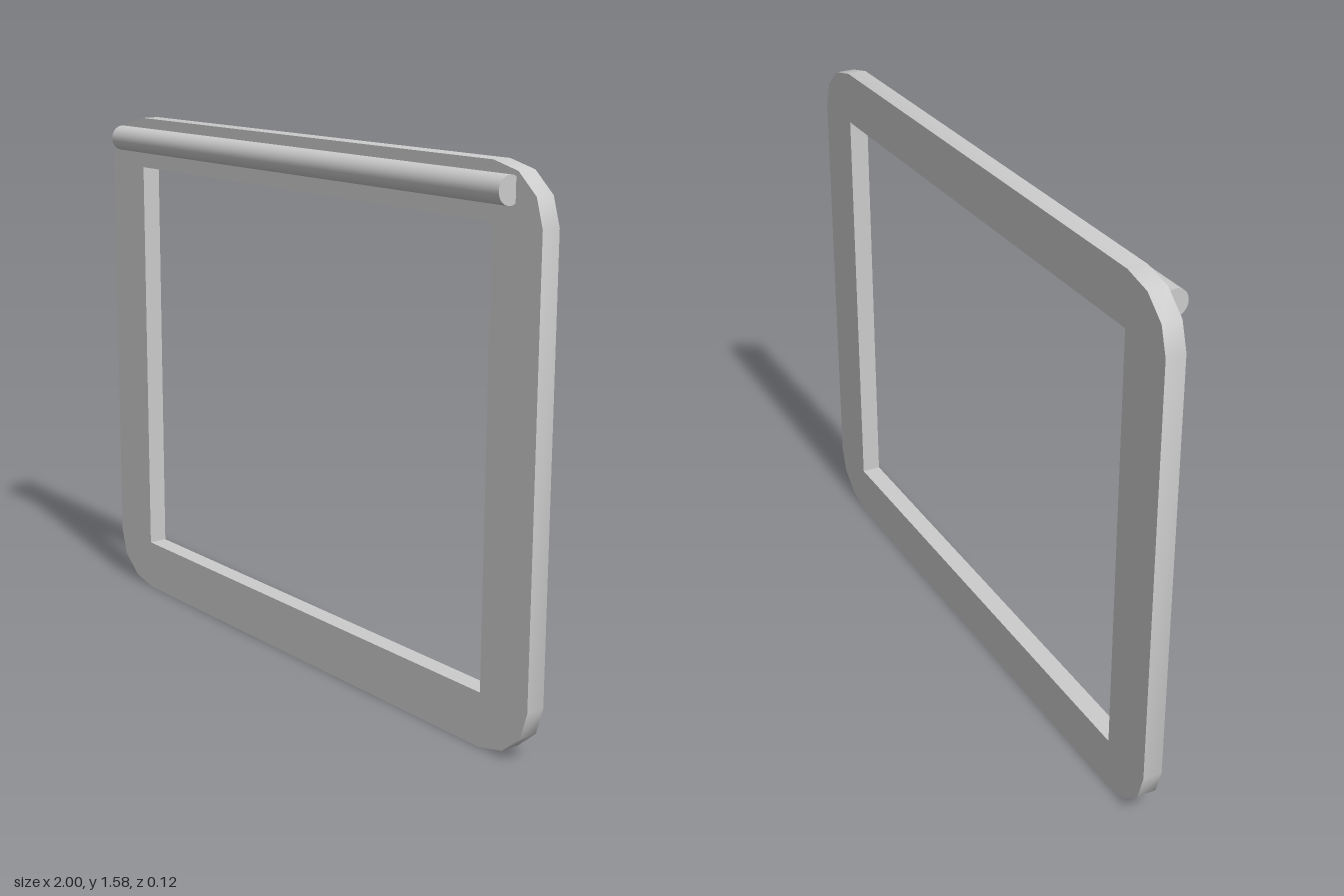
import * as THREE from 'three';
import { toCreasedNormals } from 'three/addons/utils/BufferGeometryUtils.js';

export function createModel() {
  const group = new THREE.Group();
  const material = new THREE.MeshStandardMaterial({ color: 0xcccccc });
  const height = 1.58, depth = 0.058;
  const border = { x: 0.181, y: 0.157 };

  // Outer outline: each corner is a quarter ellipse in three facets
  const outline = [];
  const corners = [[1, 1], [-1, 1], [-1, -1], [1, -1]];
  corners.forEach(([sx, sy], corner) => {
    const cx = sx * (1 - border.x);
    const cy = height / 2 + sy * (height / 2 - border.y);
    for (let i = 0; i <= 3; i++) {
      const a = (corner + i / 3) * Math.PI / 2;
      outline.push(new THREE.Vector2(cx + border.x * Math.cos(a), cy + border.y * Math.sin(a)));
    }
  });
  const shape = new THREE.Shape(outline);

  // Square-cornered opening
  const hole = corners.map(([sx, sy]) => new THREE.Vector2(
    sx * (1 - border.x), height / 2 + sy * (height / 2 - border.y)));
  shape.holes.push(new THREE.Path(hole.reverse()));

  const frameGeometry = new THREE.ExtrudeGeometry(shape, { depth, bevelEnabled: false });
  const frame = new THREE.Mesh(toCreasedNormals(frameGeometry, 0.7), material);
  frame.name = 'frame';
  frame.position.z = -depth;
  group.add(frame);

  // Round rod partly sunk into the top of the frame
  const rod = new THREE.Mesh(new THREE.CylinderGeometry(0.039, 0.039, 1.815, 32), material);
  rod.name = 'topRod';
  rod.rotation.z = Math.PI / 2;
  rod.position.set(-0.005, 1.512, 0.019);
  group.add(rod);

  return group;
}
